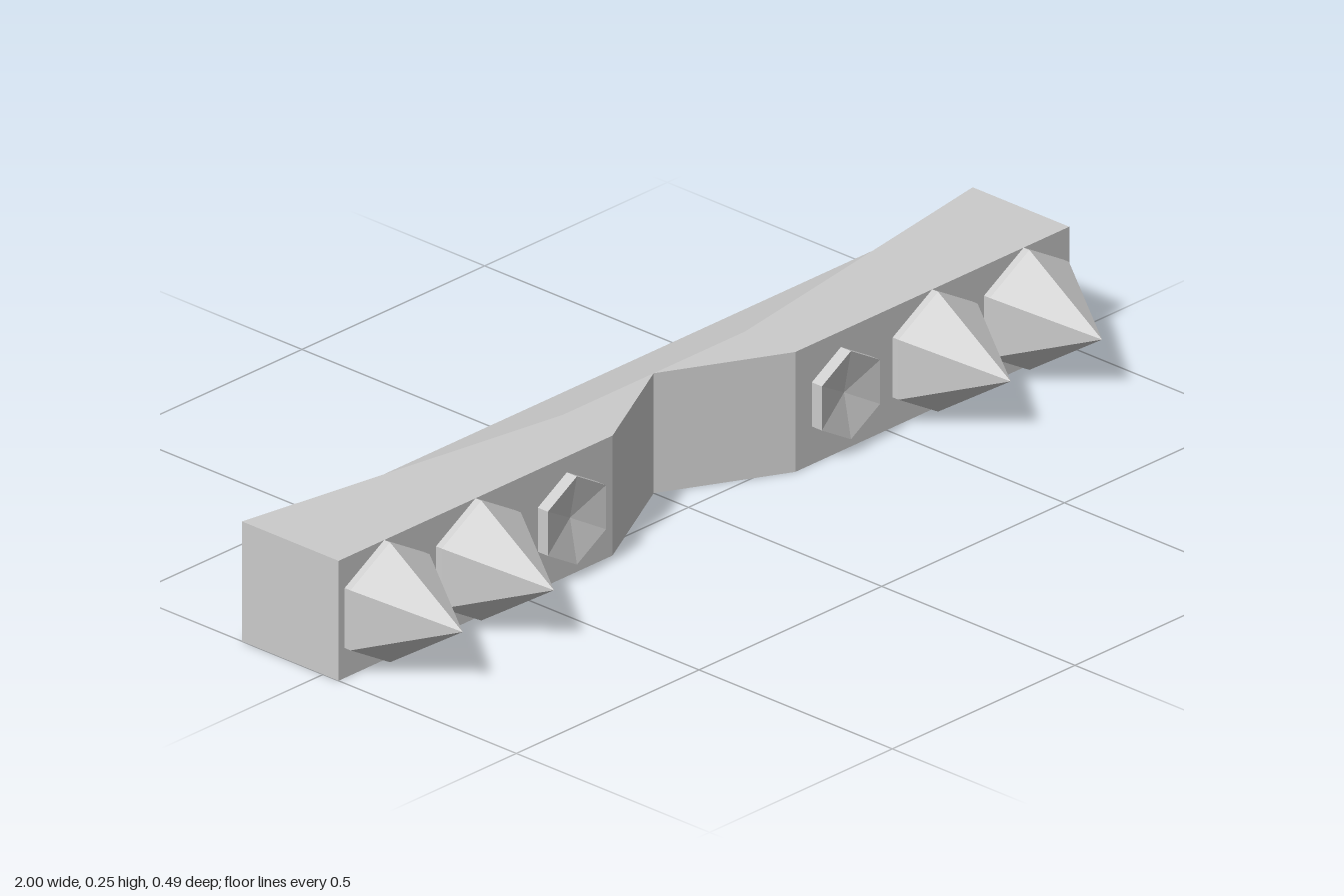
import * as THREE from 'three';

const H = 0.25, MID = H / 2, FRONT = 0.04;

const material = () => new THREE.MeshStandardMaterial({ color: 0xcccccc, flatShading: true });

// Cross-section of the bar: front face, top ridge, crease and narrow back face, mirrored in height
function section({ x, front, ridge, crease, back }) {
  const top = [[H, front], [H, ridge], crease, [0.19, back]];
  const bottom = top.map(([y, z]) => [H - y, z]).reverse();
  return [...top, ...bottom].map(([y, z]) => new THREE.Vector3(x, y, z));
}

const SECTIONS = [
  { x: 0, front: -0.09, ridge: -0.09, crease: [H, -0.09], back: -0.243 },
  { x: 0.25, front: FRONT, ridge: -0.09, crease: [H, -0.09], back: -0.243 },
  { x: 0.87, front: FRONT, ridge: -0.189, crease: [0.2, -0.189], back: -0.243 },
  { x: 1, front: FRONT, ridge: -0.21, crease: [0.19, -0.21], back: -0.21 },
].map(section);

// One half of the bar, skinned between sections; side is +1 or -1
function halfBar(side) {
  const positions = [];
  const tri = (a, b, c) => {
    if (new THREE.Triangle(a, b, c).getArea() < 1e-7) return;
    for (const p of side > 0 ? [a, b, c] : [a, c, b]) positions.push(p.x * side, p.y, p.z);
  };
  for (let i = 0; i < SECTIONS.length - 1; i++) {
    const inner = SECTIONS[i], outer = SECTIONS[i + 1];
    for (let j = 0; j < 8; j++) {
      const k = (j + 1) % 8;
      const a = inner[j], b = inner[k], c = outer[j], d = outer[k];
      if (j < 4) { tri(a, c, d); tri(a, d, b); }
      else { tri(a, c, b); tri(c, d, b); }
    }
  }
  // End cap
  const end = SECTIONS[SECTIONS.length - 1];
  for (let k = 1; k < 7; k++) tri(end[0], end[k + 1], end[k]);

  const geometry = new THREE.BufferGeometry();
  geometry.setAttribute('position', new THREE.Float32BufferAttribute(positions, 3));
  geometry.computeVertexNormals();
  return geometry;
}

// Six-sided turned part pointing forward, standing on the front face
function hexPart(name, x, profile) {
  const points = profile.map(([r, h]) => new THREE.Vector2(r, h));
  const geometry = new THREE.LatheGeometry(points, 6).rotateX(Math.PI / 2);
  const mesh = new THREE.Mesh(geometry, material());
  mesh.name = name;
  mesh.position.set(x, MID, FRONT);
  return mesh;
}

export function createModel() {
  const group = new THREE.Group();
  group.name = 'spikedBar';
  for (const side of [1, -1]) {
    const label = side > 0 ? 'left' : 'right';
    const bar = new THREE.Mesh(halfBar(side), material());
    bar.name = `${label}BarHalf`;
    group.add(bar);

    // Spikes with a short straight base
    [0.625, 0.875].forEach((x, i) => {
      const name = `${label}${i ? 'Outer' : 'Inner'}Spike`;
      group.add(hexPart(name, x * side, [[0.125, 0], [0.125, 0.015], [0, 0.203]]));
    });

    // Hexagonal stud with a dished face
    group.add(hexPart(`${label}Stud`, 0.375 * side, [[0.092, 0], [0.092, 0.026], [0, 0.008]]));
  }
  return group;
}
